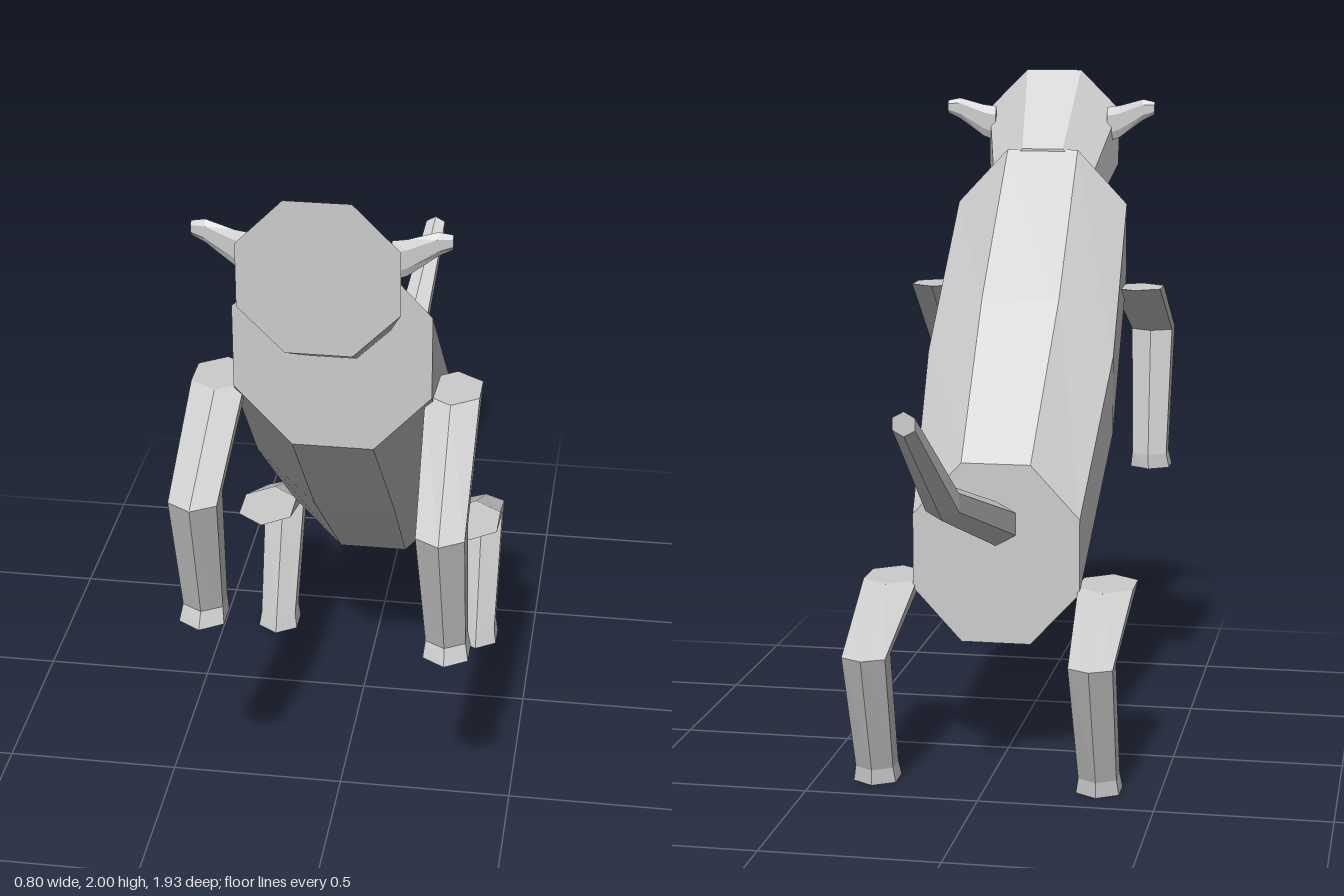
import * as THREE from 'three';

// Skin a list of rings (arrays of Vector3) with flat capped ends
function loft(rings) {
  const tris = [];
  const n = rings[0].length;
  for (let r = 0; r < rings.length - 1; r++) {
    const a = rings[r], b = rings[r + 1];
    for (let i = 0; i < n; i++) {
      const j = (i + 1) % n;
      tris.push([a[i], a[j], b[j]], [a[i], b[j], b[i]]);
    }
  }
  const first = rings[0], last = rings[rings.length - 1];
  for (let i = 1; i < n - 1; i++) {
    tris.push([first[0], first[i + 1], first[i]], [last[0], last[i], last[i + 1]]);
  }
  // Turn every face outwards, whichever way the rings run
  let volume = 0;
  for (const [a, b, c] of tris) volume += a.dot(b.clone().cross(c));
  const points = tris.flatMap(([a, b, c]) => (volume < 0 ? [a, c, b] : [a, b, c]));
  const geometry = new THREE.BufferGeometry().setFromPoints(points);
  geometry.computeVertexNormals();
  return geometry;
}

// Upright octagon facing z: centre y, half width, half height
function octagon(z, y, w, h) {
  const ring = [];
  for (let i = 0; i < 8; i++) {
    const t = Math.PI / 8 + (i * Math.PI) / 4, k = 1 / Math.cos(Math.PI / 8);
    ring.push(new THREE.Vector3(Math.cos(t) * k * w, y + Math.sin(t) * k * h, z));
  }
  return ring;
}

// Hexagon outline with its points on the second axis
const HEX = [[0, 1], [1, 0.5], [1, -0.5], [0, -1], [-1, -0.5], [-1, 0.5]];
// Level hexagon for legs
const hexLevel = ([x, y, z, w, d]) => HEX.map(([u, v]) => new THREE.Vector3(x + u * w, y, z + v * d));
// Upright hexagon facing z for the tail
const hexFront = ([x, y, z, w, h]) => HEX.map(([u, v]) => new THREE.Vector3(x + u * w, y + v * h, z));
// Upright hexagon facing x for the ears
const hexSide = ([x, y, z, d, h]) => HEX.map(([u, v]) => new THREE.Vector3(x, y + v * h, z + u * d));

export function createModel() {
  const group = new THREE.Group();
  const grey = new THREE.MeshStandardMaterial({ color: 0xcccccc });
  grey.name = 'grey';
  grey.flatShading = true;

  const add = (name, rings) => {
    const mesh = new THREE.Mesh(loft(rings), grey);
    mesh.name = name;
    group.add(mesh);
  };

  // Rearing trunk and head
  add('body', [
    octagon(0.605, 1.475, 0.267, 0.285),
    octagon(0.2, 1.055, 0.283, 0.285),
    octagon(-0.21, 0.648, 0.245, 0.265),
  ]);
  add('head', [octagon(0.83, 1.79, 0.21, 0.21), octagon(0.6, 1.61, 0.155, 0.152)]);

  // Tail, bent upwards and to the side
  add('tail', [
    [0, 0.735, -0.2, 0.06, 0.066],
    [0.055, 0.902, -0.7, 0.046, 0.052],
    [0.1, 1.16, -0.965, 0.03, 0.033],
  ].map(hexFront));

  for (const side of [1, -1]) {
    const label = side > 0 ? 'left' : 'right';

    // Thin ear
    add(label + 'Ear', [
      [side * 0.18, 1.83, 0.778, 0.01, 0.055],
      [side * 0.22, 1.84, 0.775, 0.01, 0.05],
      [side * 0.295, 1.878, 0.767, 0.01, 0.033],
      [side * 0.333, 1.883, 0.762, 0.008, 0.02],
    ].map(hexSide));

    // Hind leg: hip, knee, ankle, foot
    add(label + 'HindLeg', [
      [side * 0.318, 0.555, -0.13, 0.08, 0.12],
      [side * 0.322, 0.405, -0.485, 0.063, 0.07],
      [side * 0.325, 0.045, -0.348, 0.055, 0.072],
      [side * 0.325, 0, -0.34, 0.062, 0.08],
    ].map(hexLevel));

    // Foreleg: shoulder, knee, ankle, foot; the right one is lifted higher
    const lift = side > 0 ? 0 : 0.088;
    const reach = side > 0 ? 0 : 0.055;
    add(label + 'Foreleg', [
      [side * 0.318, 1.345, 0.515, 0.073, 0.1],
      [side * 0.322, 1.08 + lift, 0.828 + reach, 0.065, 0.08],
      [side * 0.33, 0.69 + lift, 0.722 + reach * 0.8, 0.055, 0.065],
      [side * 0.332, 0.645 + lift, 0.732 + reach * 0.8, 0.062, 0.079],
    ].map(hexLevel));
  }

  return group;
}
